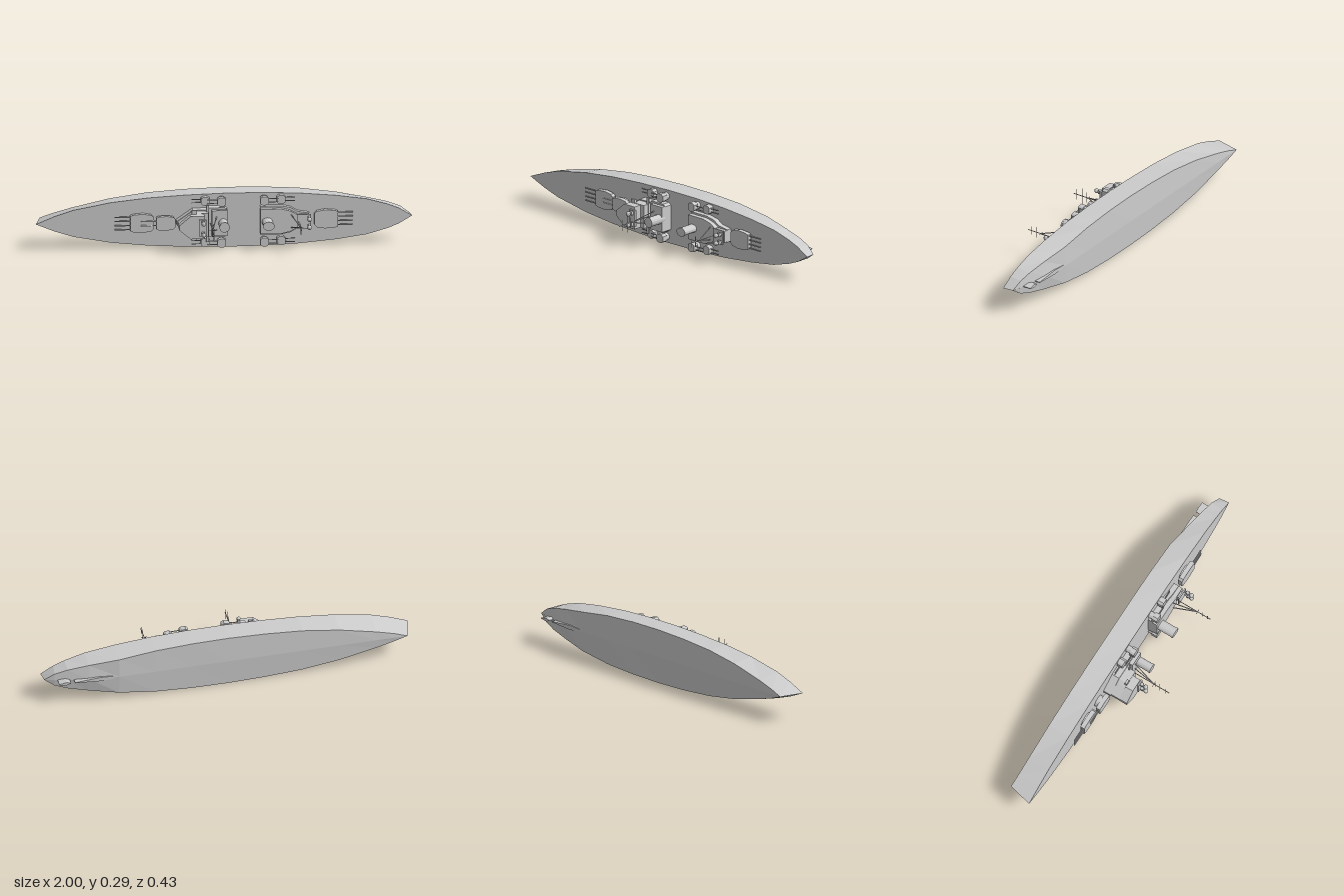
import * as THREE from 'three';

const mat = new THREE.MeshStandardMaterial({ color: 0xcccccc, flatShading: true, side: THREE.DoubleSide });
const V = (x, y, z) => new THREE.Vector3(x, y, z);
const DECK = -0.084;

// The ship lies with its deck facing +z: x runs along the keel, y across the beam.
export function createModel() {
  const ship = new THREE.Group();
  ship.name = 'warship';
  ship.position.y = 0.147;

  const add = (name, geo, x = 0, y = 0, z = 0, parent = ship) => {
    const m = new THREE.Mesh(geo, mat);
    m.name = name;
    m.position.set(x, y, z);
    parent.add(m);
    return m;
  };
  const box = (name, x0, x1, half, z0, z1, y = 0, parent = ship) =>
    add(name, new THREE.BoxGeometry(x1 - x0, half * 2, z1 - z0), (x0 + x1) / 2, y, (z0 + z1) / 2, parent);
  // Symmetric plan outline from half-breadth points, raised from z0 to z1
  const prism = (name, pts, z0, z1, parent = ship) => {
    const all = [...pts, ...pts.slice().reverse().map(([x, y]) => [x, -y])];
    const shape = new THREE.Shape(all.map(([x, y]) => new THREE.Vector2(x, y)));
    return add(name, new THREE.ExtrudeGeometry(shape, { depth: z1 - z0, bevelEnabled: false }), 0, 0, z0, parent);
  };
  const drum = (name, r0, r1, z0, z1, x, y, sides = 10, parent = ship) =>
    add(name, new THREE.CylinderGeometry(r1, r0, z1 - z0, sides).rotateX(Math.PI / 2), x, y, (z0 + z1) / 2, parent);
  const rod = (name, a, b, r, parent = ship) => {
    const d = b.clone().sub(a);
    const m = add(name, new THREE.CylinderGeometry(r, r, d.length(), 6), 0, 0, 0, parent);
    m.position.copy(a).addScaledVector(d, 0.5);
    m.quaternion.setFromUnitVectors(V(0, 1, 0), d.normalize());
    return m;
  };

  // Hull stations: deck x, deck half-breadth, bilge x, bilge half-breadth, bilge z, keel z
  const stations = [
    [-1, 0, -0.968, 0, -0.216, -0.217], [-0.9, 0.041, -0.9, 0.024, -0.214, -0.217],
    [-0.8, 0.073, -0.8, 0.052, -0.212, -0.216], [-0.6, 0.11, -0.6, 0.098, -0.21, -0.215],
    [-0.4, 0.131, -0.4, 0.127, -0.208, -0.214], [-0.2, 0.142, -0.2, 0.141, -0.207, -0.213],
    [0, 0.147, 0, 0.147, -0.206, -0.212], [0.2, 0.146, 0.2, 0.145, -0.206, -0.211],
    [0.4, 0.138, 0.4, 0.134, -0.206, -0.211], [0.6, 0.12, 0.6, 0.108, -0.204, -0.21],
    [0.76, 0.097, 0.76, 0.082, -0.181, -0.194], [0.87, 0.066, 0.87, 0.06, -0.165, -0.172],
    [0.93, 0.042, 0.94, 0.037, -0.154, -0.158], [1, 0, 0.993, 0, -0.141, -0.142],
  ];
  const pos = [], idx = [];
  stations.forEach(([xd, w, xb, wb, zb, zk], s) => {
    pos.push(xd, w, DECK, xb, wb, zb, xb, 0, zk, xb, -wb, zb, xd, -w, DECK);
    if (s === 0) return;
    for (let i = 0; i < 5; i++) {
      const j = (i + 1) % 5, a = (s - 1) * 5, b = s * 5;
      idx.push(a + i, b + i, a + j, b + i, b + j, a + j);
    }
  });
  let hull = new THREE.BufferGeometry();
  hull.setAttribute('position', new THREE.Float32BufferAttribute(pos, 3));
  hull.setIndex(idx);
  hull = hull.toNonIndexed();
  hull.computeVertexNormals();
  add('hull', hull);

  // Skeg and rudder under the stern
  prism('skeg', [[0.52, 0.002], [0.7, 0.012], [0.84, 0.002]], -0.207, -0.17);
  prism('rudder', [[0.862, 0.002], [0.885, 0.009], [0.925, 0.002]], -0.205, -0.15);

  // Main turrets, built facing +x around their own origin
  const mainTurret = (name, x, dir, z0, half, len, offsets, reach) => {
    const g = new THREE.Group();
    g.name = name;
    g.position.x = x;
    g.rotation.z = dir < 0 ? Math.PI : 0;
    const l = len / 2;
    drum('barbette', half * 0.85, half * 0.85, DECK - 0.002, z0 + 0.004, 0, 0, 16, g);
    prism('gunHouse', [[-l, half * 0.6], [-l * 0.8, half * 0.85], [-l * 0.1, half], [l * 0.75, half * 0.92], [l, half * 0.8]],
      z0, z0 + 0.025, g);
    for (const y of offsets) rod('barrel', V(l - 0.01, y, z0 + 0.014), V(reach, y, z0 + 0.014), 0.0035, g);
    ship.add(g);
  };
  const quad = [-0.034, -0.012, 0.012, 0.034];
  mainTurret('foreTurret', -0.438, -1, -0.076, 0.051, 0.124, quad, 0.145);
  mainTurret('upperForeTurret', -0.313, -1, -0.064, 0.039, 0.1, [-0.012, 0.012], 0.13);
  mainTurret('aftTurret', 0.54, 1, -0.076, 0.051, 0.124, quad, 0.143);

  // Secondary twin turrets along both sides
  for (const side of [-1, 1]) {
    for (const [x, dir, z0] of [[-0.1, -1, DECK], [-0.015, -1, -0.064], [0.21, 1, -0.064], [0.3, 1, DECK]]) {
      const g = new THREE.Group();
      g.name = 'secondaryTurret';
      g.position.set(x, side * 0.113, 0);
      g.rotation.z = dir < 0 ? Math.PI : 0;
      drum('base', 0.02, 0.02, DECK - 0.002, z0 + 0.006, 0, 0, 12, g);
      prism('gunHouse', [[-0.022, 0.014], [-0.008, 0.024], [0.014, 0.022], [0.024, 0.014]], z0 + 0.003, z0 + 0.034, g);
      for (const y of [-0.009, 0.009]) rod('barrel', V(0.015, y, z0 + 0.02), V(0.075, y, z0 + 0.02), 0.0025, g);
      ship.add(g);
    }
  }

  // Forward superstructure and bridge
  prism('foreDeckhouse', [[-0.255, 0.01], [-0.19, 0.055], [-0.17, 0.07], [-0.09, 0.07], [-0.085, 0.08], [0.0, 0.08], [0.015, 0.068]],
    DECK, -0.04);
  prism('bridgeBase', [[-0.25, 0.01], [-0.19, 0.052], [-0.17, 0.064], [-0.09, 0.064]], -0.04, 0.012);
  prism('bridgeTower', [[-0.25, 0.012], [-0.205, 0.05], [-0.19, 0.062], [-0.115, 0.062]], 0.012, 0.058);
  box('bridgeWing', -0.18, -0.155, 0.083, 0.001, 0.014);
  box('hangar', -0.07, 0.012, 0.07, -0.04, -0.018);
  box('signalPlatform', -0.1, -0.085, 0.1, -0.024, -0.018);
  box('directorPlatform', -0.145, -0.105, 0.045, 0.055, 0.066);

  // After superstructure
  prism('aftDeckhouse', [[0.19, 0.078], [0.3, 0.078], [0.35, 0.068], [0.39, 0.045], [0.45, 0.035]], DECK, -0.055);
  prism('aftUpperDeckhouse', [[0.19, 0.068], [0.3, 0.068], [0.35, 0.055], [0.385, 0.035]], -0.055, -0.028);
  box('aftControl', 0.375, 0.45, 0.032, -0.055, -0.032);
  box('aftPlatform', 0.385, 0.455, 0.04, -0.02, -0.013);
  box('aftPlatformPost', 0.4, 0.435, 0.02, -0.034, -0.018);

  // Funnels with raked oval sections
  for (const [x, half, len] of [[-0.01, 0.026, 0.05], [0.225, 0.022, 0.058]]) {
    const funnel = drum('funnel', 1, 1, -0.04, 0.062, x, 0, 14);
    funnel.scale.set(len / 2, half, 1);
    const cap = drum('funnelCap', 1, 1, 0.056, 0.065, x, 0, 14);
    cap.scale.set(len / 2 + 0.002, half + 0.002, 1);
  }

  // Gun directors on pedestals
  const director = (x, y, z0, z) => {
    drum('directorPost', 0.006, 0.006, z0, z, x, y, 8);
    box('directorBase', x - 0.009, x + 0.009, 0.01, z - 0.03, z - 0.016, y);
    add('director', new THREE.SphereGeometry(0.013, 10, 6), x, y, z);
  };
  for (const s of [-1, 1]) {
    director(-0.124, s * 0.031, 0.06, 0.098);
    director(0.445, s * 0.022, -0.016, 0.028);
  }

  // Tripod masts with crossed yards
  const mast = (name, x, foot, z0, joint, top, yards) => {
    const g = new THREE.Group();
    g.name = name;
    rod('pole', V(x, 0, z0), V(x, 0, top), 0.0022, g);
    for (const s of [-1, 1]) rod('leg', V(foot, s * 0.036, z0), V(x, 0, joint), 0.0028, g);
    for (const [z, half] of yards) rod('yard', V(x, -half, z), V(x, half, z), 0.0016, g);
    rod('foreAftYard', V(x - 0.016, 0, joint), V(x + 0.016, 0, joint), 0.0016, g);
    ship.add(g);
  };
  mast('foreMast', -0.078, -0.045, -0.02, 0.12, 0.215, [[0.195, 0.031], [0.155, 0.047], [0.13, 0.03]]);
  mast('aftMast', 0.39, 0.352, -0.03, 0.1, 0.18, [[0.162, 0.023], [0.128, 0.03]]);

  return ship;
}
